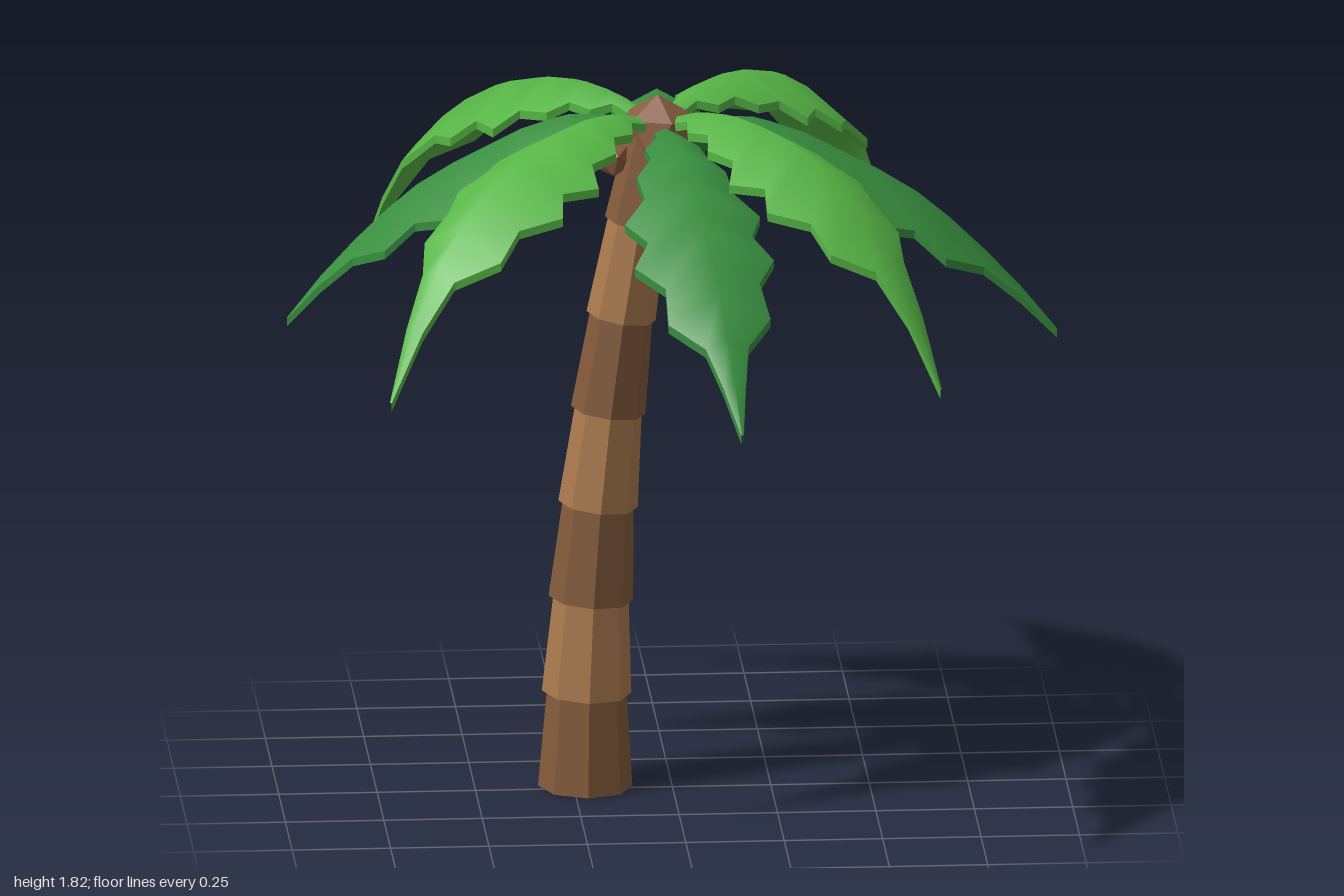
import * as THREE from 'three';

const material = (name, color, flatShading = false) => {
  const m = new THREE.MeshStandardMaterial({ color, flatShading });
  m.name = name;
  return m;
};

// Frond rows: distance along the frond (0..1), half width, ridge height of low and high fronds
const ROWS = [
  [0, 0.02, 1.735, 1.75], [0.13, 0.03, 1.765, 1.795], [0.17, 0.07, 1.767, 1.803],
  [0.24, 0.07, 1.765, 1.81], [0.28, 0.115, 1.755, 1.81], [0.37, 0.115, 1.725, 1.8],
  [0.41, 0.175, 1.705, 1.79], [0.5, 0.135, 1.66, 1.765], [0.55, 0.18, 1.635, 1.745],
  [0.65, 0.122, 1.575, 1.69], [0.73, 0.132, 1.51, 1.63], [0.82, 0.055, 1.425, 1.54],
  [0.91, 0.028, 1.33, 1.405], [1, 0.003, 1.22, 1.22],
];
const THICK = 0.022, DROOP = 0.55;

// Serrated, arched blade along +z with a raised ridge, smooth faces and sharp rims
function frondGeometry(length, high) {
  const pos = [], idx = [];
  const rows = ROWS.map(([s, w, low, up]) => {
    const y = high ? up : low;
    return [[-w, y - w * DROOP, s * length], [0, y, s * length], [w, y - w * DROOP, s * length]];
  });
  const lower = ([x, y, z]) => [x, y - THICK, z];
  // Skin a list of rows into its own smooth sheet
  const sheet = (grid) => {
    const start = pos.length / 3, n = grid[0].length;
    grid.forEach((row) => row.forEach((p) => pos.push(...p)));
    for (let i = 0; i < grid.length - 1; i++) {
      for (let j = 0; j < n - 1; j++) {
        const a = start + i * n + j, b = a + 1, c = a + n, d = c + 1;
        idx.push(a, c, b, b, c, d);
      }
    }
  };
  sheet(rows);
  sheet(rows.map((r) => r.map(lower).reverse()));
  // Each rim step is separate so the teeth stay crisp
  for (let i = 0; i < rows.length - 1; i++) {
    const pair = [rows[i], rows[i + 1]];
    sheet(pair.map((r) => [lower(r[0]), r[0]]));
    sheet(pair.map((r) => [r[2], lower(r[2])]));
  }
  const g = new THREE.BufferGeometry();
  g.setAttribute('position', new THREE.Float32BufferAttribute(pos, 3));
  g.setIndex(idx);
  g.computeVertexNormals();
  return g;
}

export function createModel() {
  const model = new THREE.Group();
  model.name = 'palmTree';
  const darkBark = material('dark bark', 0x835a3b, true);
  const lightBark = material('light bark', 0xaa7a4e, true);
  const husk = material('coconut husk', 0x8a5c40, true);
  const darkLeaf = material('dark leaf', 0x388e3f);
  const lightLeaf = material('light leaf', 0x57b646);

  const add = (parent, name, geometry, mat, x = 0, y = 0, z = 0) => {
    const mesh = new THREE.Mesh(geometry, mat);
    mesh.name = name;
    mesh.position.set(x, y, z);
    parent.add(mesh);
    return mesh;
  };

  // Trunk: flared sections stacked along a leaning curve
  const trunk = new THREE.Group();
  trunk.name = 'trunk';
  model.add(trunk);
  const COUNT = 7;
  const spine = (t) => new THREE.Vector3(-0.22 + 0.18 * t * t, 0.004 + 1.735 * t, -0.022);
  for (let i = 0; i < COUNT; i++) {
    const a = spine(i / COUNT), b = spine((i + 1) / COUNT);
    const r = 0.12 - 0.0062 * i;
    const mid = a.clone().lerp(b, 0.5);
    const section = add(trunk, 'trunkSection' + (i + 1),
      new THREE.CylinderGeometry(r * 0.84, r, a.distanceTo(b) + 0.008, 8),
      i % 2 ? lightBark : darkBark, mid.x, mid.y, mid.z);
    section.rotation.z = -Math.atan2(b.x - a.x, b.y - a.y);
  }

  // Crown knob, one point up
  const knob = new THREE.IcosahedronGeometry(0.1, 0);
  knob.rotateX(-Math.atan((1 + Math.sqrt(5)) / 2));
  knob.rotateY(0.35);
  add(model, 'crown', knob, husk, -0.035, 1.72, -0.03);

  // Coconuts hanging around the top of the trunk
  for (let i = 0; i < 3; i++) {
    const a = Math.PI / 3 + (i * Math.PI * 2) / 3;
    const nut = add(model, 'coconut' + (i + 1), new THREE.IcosahedronGeometry(0.055, 0), husk,
      -0.045 + 0.1 * Math.cos(a), 1.66, -0.025 + 0.1 * Math.sin(a));
    nut.rotation.set(0.3, a, 0.2);
  }

  // Fronds: tip positions (x, z) around the crown, alternating low dark and high light
  const tips = [[0.02, -1], [0.6, -0.77], [0.97, 0.1], [0.64, 0.63],
    [0.11, 1], [-0.76, 0.65], [-0.97, -0.13], [-0.74, -0.69]];
  tips.forEach(([x, z], i) => {
    const dx = x + 0.035, dz = z + 0.03, high = i % 2 === 1;
    const frond = add(model, 'frond' + (i + 1), frondGeometry(Math.hypot(dx, dz), high),
      high ? lightLeaf : darkLeaf, -0.035, 0, -0.03);
    frond.rotation.y = Math.atan2(dx, dz);
  });
  return model;
}
